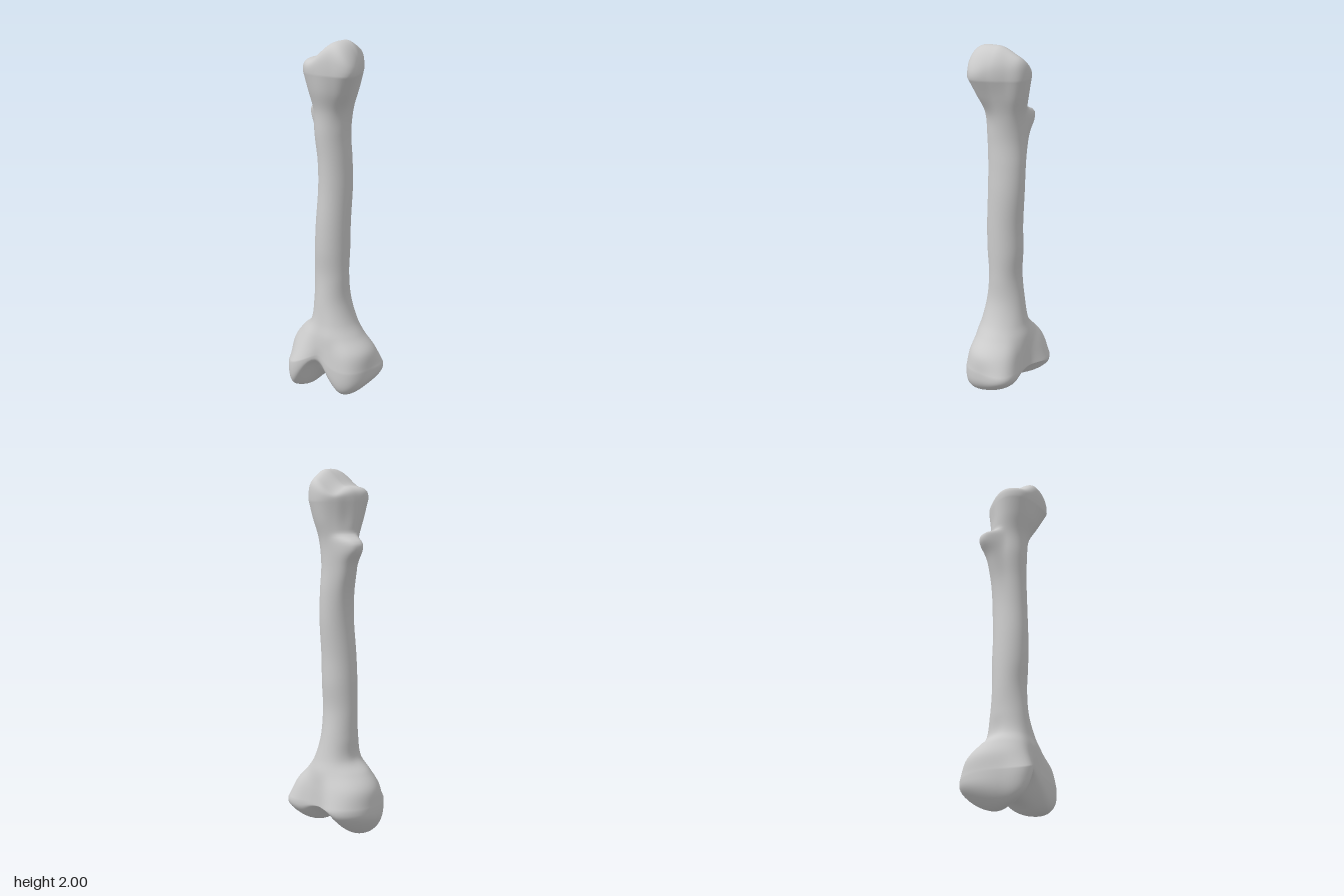
import * as THREE from 'three';
import { mergeVertices } from 'three/addons/utils/BufferGeometryUtils.js';

const COLS = 84, STEPS = 8, CAP = 26;
const gauss = (d, s) => Math.exp(-((d / s) ** 2));
const plateau = (d, s) => Math.exp(-((d / s) ** 4));
const smooth = THREE.MathUtils.smoothstep;

// Outlines as twelve radii, every 30 degrees from +x towards +z
const kneeSections = [
  { y: 0.18, lift: 0.07, r: [0.258, 0.245, 0.178, 0.155, 0.257, 0.255, 0.267, 0.275, 0.255, 0.176, 0.19, 0.28] },
  { y: 0.28, lift: 0.02, r: [0.24, 0.22, 0.165, 0.15, 0.205, 0.23, 0.255, 0.25, 0.215, 0.168, 0.175, 0.228] },
  { y: 0.36, lift: 0, r: [0.172, 0.165, 0.15, 0.14, 0.165, 0.18, 0.197, 0.187, 0.17, 0.157, 0.155, 0.165] },
  { y: 0.43, lift: 0, r: [0.124, 0.125, 0.125, 0.122, 0.13, 0.128, 0.122, 0.13, 0.137, 0.135, 0.13, 0.125] },
];
const headSections = [
  { y: 1.74, lift: 0, r: [0.13, 0.155, 0.14, 0.138, 0.142, 0.138, 0.122, 0.112, 0.125, 0.142, 0.14, 0.125] },
  { y: 1.84, lift: 0, r: [0.167, 0.211, 0.17, 0.157, 0.168, 0.16, 0.127, 0.117, 0.134, 0.16, 0.165, 0.149] },
];
// Oval shaft: y, then extents in x and z
const shaftSections = [
  [0.55, -0.115, 0.085, -0.112, 0.105],
  [0.70, -0.114, 0.079, -0.093, 0.092],
  [0.85, -0.11, 0.082, -0.101, 0.1],
  [1.00, -0.102, 0.084, -0.102, 0.1],
  [1.20, -0.091, 0.086, -0.115, 0.091],
  [1.35, -0.094, 0.081, -0.117, 0.091],
  [1.50, -0.11, 0.078, -0.111, 0.1],
  [1.63, -0.115, 0.093, -0.117, 0.107],
];

// Smooth closed interpolation of the twelve radii
function radiusAt(r, a) {
  const f = a / (Math.PI / 6), i = Math.floor(f), t = f - i;
  const [p, q, s, u] = [-1, 0, 1, 2].map(k => r[(i + k + 12) % 12]);
  return q + 0.5 * t * (s - p + t * (2 * p - 5 * q + 4 * s - u + t * (3 * (q - s) + u - p)));
}

function polarPoint({ y, lift, r }, a) {
  const rad = radiusAt(r, a);
  return new THREE.Vector3(rad * Math.cos(a), y + lift * gauss(a - Math.PI / 2, 0.42), rad * Math.sin(a));
}

function ovalPoint([y, x0, x1, z0, z1], a) {
  return new THREE.Vector3(
    (x0 + x1) / 2 + (x1 - x0) / 2 * Math.cos(a), y,
    (z0 + z1) / 2 + (z1 - z0) / 2 * Math.sin(a));
}

// Underside of the knee: two condyles, the notch between and the front hollow
function kneeHeight(x, z) {
  const dr = x + 0.15, dl = x - 0.15;
  return 0.068 + (0.15 - z) ** 2
    - 0.09 * gauss(dr, dr < 0 ? 0.13 : 0.075)
    - 0.055 * gauss(dl, dl > 0 ? 0.13 : 0.08)
    + 0.14 * gauss(x + 0.025, 0.09) * gauss(z - 0.165, 0.09);
}

// Upper surface of the head, with a low shoulder on the -x side
function headHeight(x, z) {
  return 1.915 + 0.091 * smooth(x, -0.07, 0.07)
    - 6 * Math.max(0, x - 0.07) ** 2 - 0.03 * smooth(-z, 0.01, 0.12);
}

// Points from a rim inwards to the pole, following a height rule
function capPoints(rim, height, power) {
  const pts = [];
  for (let k = 1; k <= CAP; k++) {
    const s = 1 - (k / CAP) ** 2;
    const u = (1 - s ** power) ** (1 / power);
    const x = rim.x * s, z = rim.z * s;
    pts.push(new THREE.Vector3(x, THREE.MathUtils.lerp(rim.y, height(x, z), u), z));
  }
  return pts;
}

// Blunt side knob below the head, fading down the shaft as a ridge
function raiseKnob(p) {
  if (p.x > 0 || p.y < 1 || p.y > 1.8) return;
  const d = p.y - 1.59;
  const along = d > 0
    ? 0.08 * plateau(d, 0.055)
    : 0.04 * gauss(d, 0.06) + 0.04 * gauss(d, 0.19);
  const amount = along * plateau(p.z + 0.045, 0.065) * smooth(-p.x, 0, 0.07);
  p.x -= amount;
  p.z -= amount * 0.25;
}

function boneGeometry() {
  const columns = [];
  for (let j = 0; j < COLS; j++) {
    const a = j / COLS * Math.PI * 2;
    const profile = [
      ...kneeSections.map(s => polarPoint(s, a)),
      ...shaftSections.map(s => ovalPoint(s, a)),
      ...headSections.map(s => polarPoint(s, a)),
    ];
    const curve = new THREE.CatmullRomCurve3(profile);
    const wall = curve.getPoints((profile.length - 1) * STEPS);
    wall.forEach(raiseKnob);
    columns.push([
      ...capPoints(profile[0], kneeHeight, 3.5).reverse(),
      ...wall,
      ...capPoints(profile[profile.length - 1], headHeight, 3.6),
    ]);
  }
  const rows = columns[0].length, pos = [], idx = [];
  for (let i = 0; i < rows; i++) {
    for (let j = 0; j < COLS; j++) {
      pos.push(...columns[j][i].toArray());
      if (i === rows - 1) continue;
      const a = i * COLS + j, b = i * COLS + (j + 1) % COLS;
      // The pole rows need only one triangle per column
      if (i > 0) idx.push(a, a + COLS, b);
      if (i < rows - 2) idx.push(b, a + COLS, b + COLS);
    }
  }
  const geo = new THREE.BufferGeometry();
  geo.setAttribute('position', new THREE.Float32BufferAttribute(pos, 3));
  geo.setIndex(idx);
  const merged = mergeVertices(geo);
  merged.computeVertexNormals();
  return merged;
}

export function createModel() {
  const group = new THREE.Group();
  group.name = 'thighBone';
  const bone = new THREE.Mesh(boneGeometry(), new THREE.MeshStandardMaterial({ color: 0xcccccc }));
  bone.name = 'boneShaftWithJoints';
  group.add(bone);
  return group;
}
